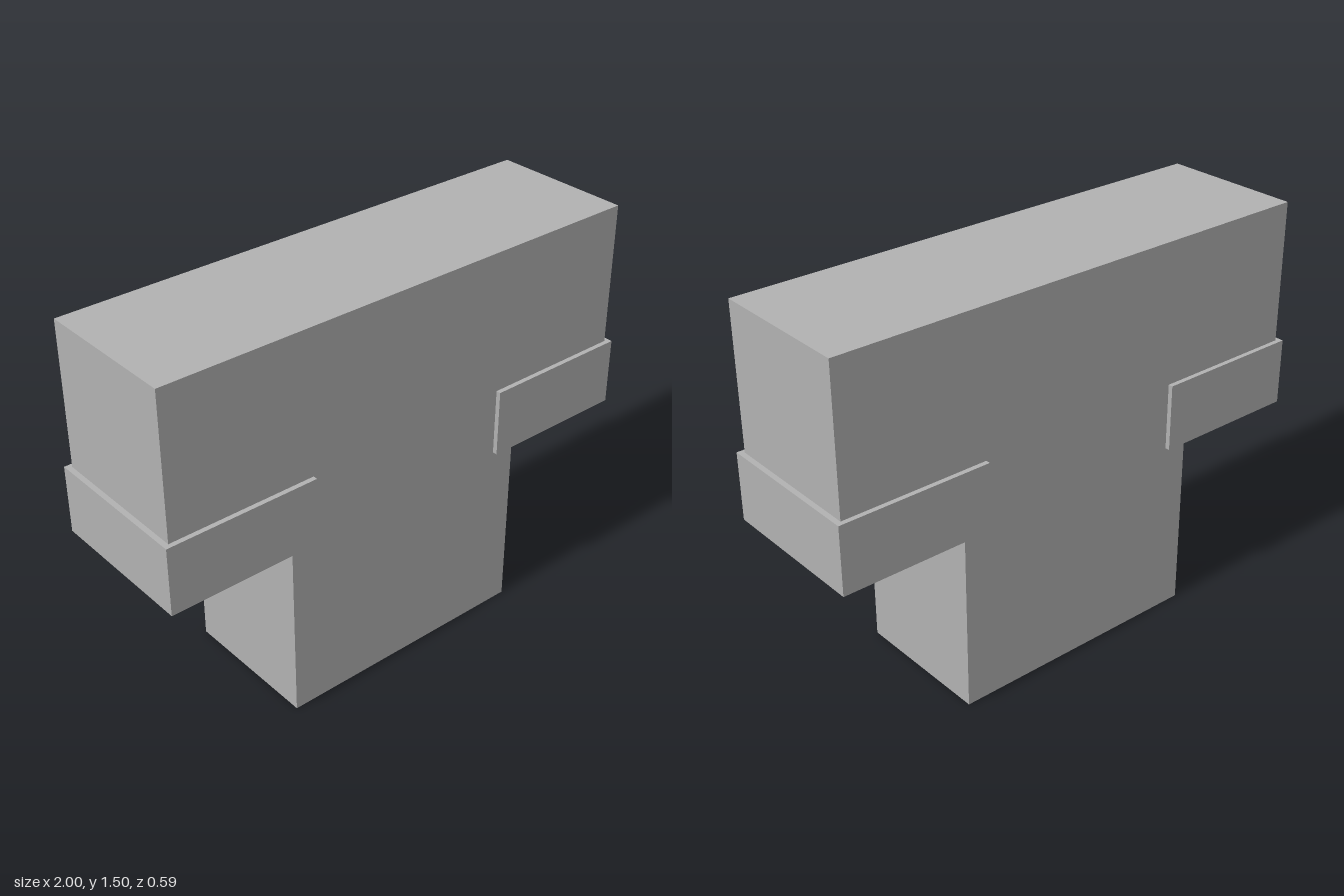
import * as THREE from 'three';

export function createModel() {
  const model = new THREE.Group();
  const grey = new THREE.MeshStandardMaterial({ color: 0xb2b2b2 });
  grey.name = 'plain grey';

  // T-shaped body: broad upper block on a narrower lower block
  const half = [[0.51, 0], [0.51, 0.72], [0.98, 0.72], [0.98, 1.495]];
  const mirrored = half.map(([x, y]) => [-x, y]).reverse();
  const outline = new THREE.Shape([...half, ...mirrored].map(([x, y]) => new THREE.Vector2(x, y)));
  const depth = 0.552;
  const bodyGeometry = new THREE.ExtrudeGeometry(outline, { depth, bevelEnabled: false });
  bodyGeometry.translate(0, 0, -depth / 2);
  const body = new THREE.Mesh(bodyGeometry, grey);
  body.name = 'body';
  model.add(body);

  // Slightly proud cuffs around the lower end of each arm
  const cuffGeometry = new THREE.BoxGeometry(0.585, 0.258, 0.588);
  for (const side of [-1, 1]) {
    const cuff = new THREE.Mesh(cuffGeometry, grey);
    cuff.name = side > 0 ? 'leftCuff' : 'rightCuff';
    cuff.position.set(side * 0.7075, 0.82, 0);
    model.add(cuff);
  }

  return model;
}
